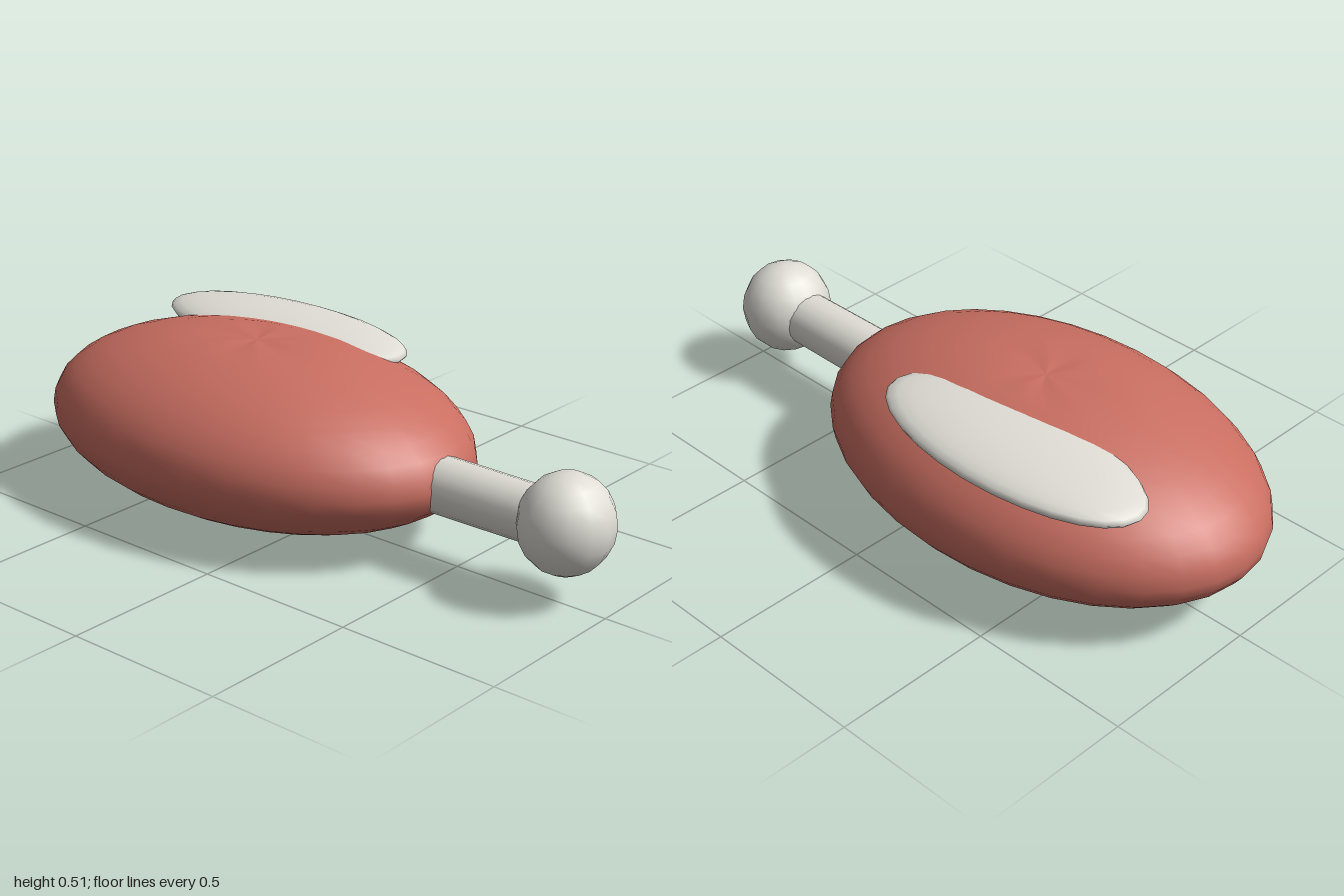
import * as THREE from 'three';

const meat = new THREE.MeshStandardMaterial({ color: 0xc96e61 });
meat.name = 'meat red';
const bone = new THREE.MeshStandardMaterial({ color: 0xdfddd5 });
bone.name = 'bone white';

function addPart(group, name, geometry, material, position) {
  const mesh = new THREE.Mesh(geometry, material);
  mesh.name = name;
  mesh.position.set(...position);
  group.add(mesh);
  return mesh;
}

function ellipsoid(rx, ry, rz, columns, rows) {
  return new THREE.SphereGeometry(1, columns, rows).scale(rx, ry, rz);
}

// Fleshy body: fuller above the widest line, with a puckered dimple at each pole
function meatGeometry() {
  const geometry = ellipsoid(0.74, 1, 0.485, 32, 20);
  const p = geometry.attributes.position;
  for (let i = 0; i < p.count; i++) {
    const x = p.getX(i), z = p.getZ(i);
    let y = p.getY(i) * (p.getY(i) > 0 ? 0.284 : 0.243);
    const r = Math.hypot(x / 0.74, z / 0.485);
    const pucker = Math.max(0, 1 - r / 0.3);
    const ripple = 1 + 0.5 * Math.sin(5 * Math.atan2(z, x)) * Math.min(1, r * 8);
    y -= Math.sign(y) * 0.014 * pucker * ripple;
    p.setXYZ(i, x, y, z);
  }
  // Keep the normals continuous across the sphere's seam
  const normals = geometry.attributes.normal;
  geometry.computeVertexNormals();
  const columns = 33, rows = 21;
  const a = new THREE.Vector3(), b = new THREE.Vector3();
  for (let row = 0; row < rows; row++) {
    const first = row * columns, last = first + columns - 1;
    a.fromBufferAttribute(normals, first);
    b.fromBufferAttribute(normals, last);
    a.add(b).normalize();
    normals.setXYZ(first, a.x, a.y, a.z);
    normals.setXYZ(last, a.x, a.y, a.z);
  }
  return geometry;
}

export function createModel() {
  const group = new THREE.Group();
  group.name = 'meatOnBone';

  addPart(group, 'meatBody', meatGeometry(), meat, [-0.26, 0.245, 0]);

  // Flat slab of bone or fat, half sunk into the back of the top
  addPart(group, 'topSlab', ellipsoid(0.46, 0.053, 0.19, 28, 14), bone, [-0.38, 0.46, -0.257]);

  // Shaft running from inside the meat to the knob
  const shaft = addPart(group, 'boneShaft', new THREE.CylinderGeometry(0.083, 0.086, 0.56, 18), bone, [0.56, 0.243, 0]);
  shaft.rotation.z = -Math.PI / 2;

  // Rounded knob, slightly taller than wide
  addPart(group, 'boneKnob', ellipsoid(0.137, 0.147, 0.142, 14, 10), bone, [0.862, 0.248, 0]);

  return group;
}
